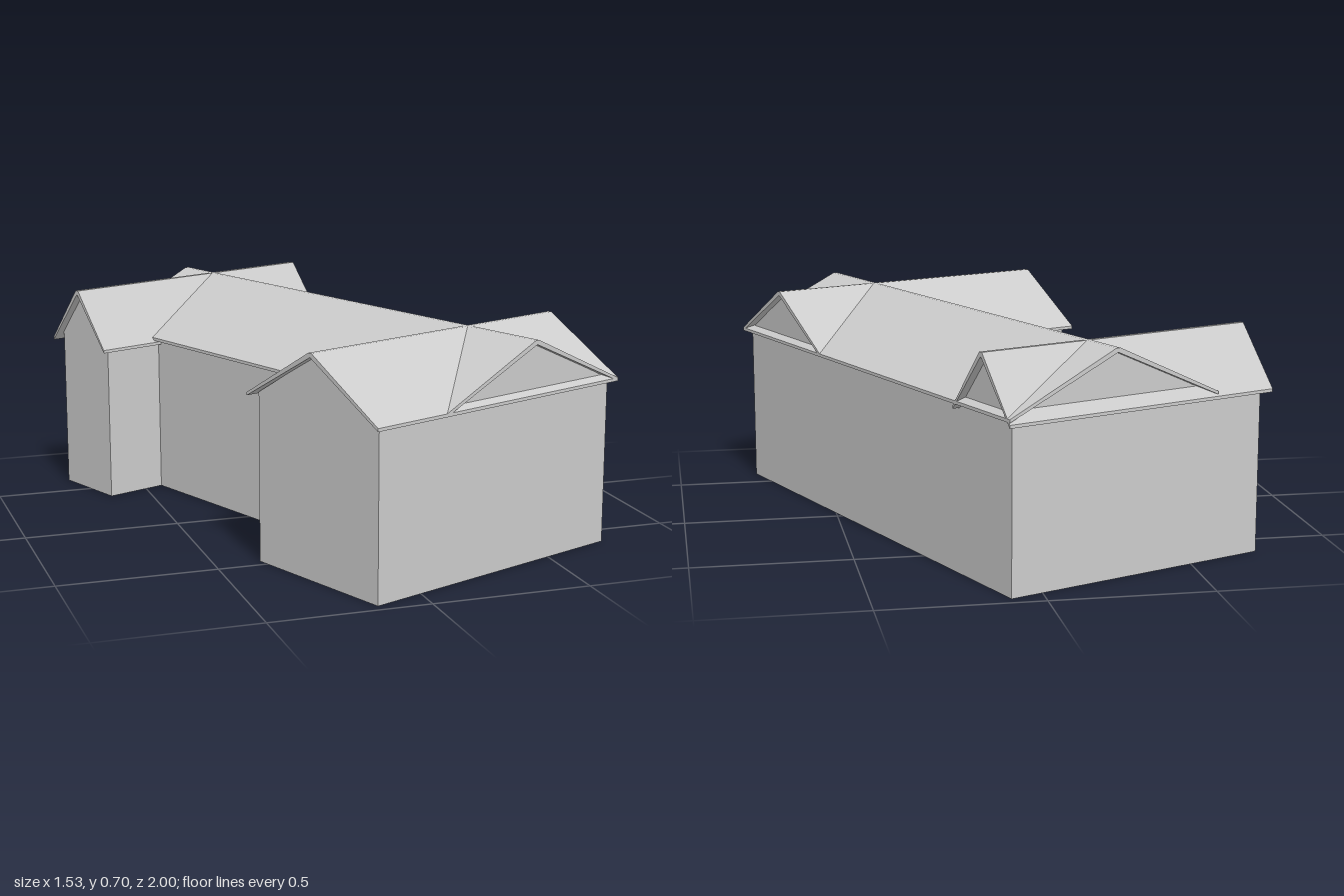
import * as THREE from 'three';

const material = new THREE.MeshStandardMaterial({ color: 0xcccccc, flatShading: true, side: THREE.DoubleSide });
const WALL_TOP = 0.533, RIDGE = 0.7, SLAB = 0.01;

function addMesh(parent, name, geometry) {
  const mesh = new THREE.Mesh(geometry, material);
  mesh.name = name;
  parent.add(mesh);
  return mesh;
}

const polygon = (points) => new THREE.Shape(points.map(([x, y]) => new THREE.Vector2(x, y)));

// Gabled roof running along z from `start` to `end`, with a wall triangle inside each end
function gabledRoof(name, { start, end, halfWidth, eave, wallStart, wallEnd, wallHalf }) {
  const roof = new THREE.Group();
  roof.name = name;

  // Thin folded slab with a narrow flat ridge
  const cap = 0.007;
  const slab = new THREE.ExtrudeGeometry(polygon([
    [-halfWidth, eave], [0, RIDGE - SLAB * 1.3], [halfWidth, eave],
    [halfWidth, eave + SLAB], [cap, RIDGE], [-cap, RIDGE], [-halfWidth, eave + SLAB],
  ]), { depth: end - start, bevelEnabled: false });
  slab.translate(0, 0, start);
  addMesh(roof, name + 'Slab', slab);

  // Gable walls closing the roof space
  for (const z of [wallStart, wallEnd]) {
    const gable = addMesh(roof, name + 'Gable', new THREE.ShapeGeometry(polygon([
      [-wallHalf, WALL_TOP], [wallHalf, WALL_TOP], [0, RIDGE - SLAB],
    ])));
    gable.position.z = z;
  }
  return roof;
}

export function createModel() {
  const model = new THREE.Group();
  model.name = 'building';
  const house = new THREE.Group();
  house.name = 'house';
  house.rotation.y = 0.38; // the house stands at an angle to the axes
  model.add(house);

  // Outer walls around the U-shaped plan, open underneath
  const plan = [
    [-0.505, 0.842], [0.45, 0.842], [0.45, -0.86], [-0.447, -0.86],
    [-0.447, -0.592], [-0.237, -0.592], [-0.237, 0.3], [-0.505, 0.3],
  ];
  plan.forEach(([x1, z1], i) => {
    const [x2, z2] = plan[(i + 1) % plan.length];
    const wall = addMesh(house, 'wall', new THREE.PlaneGeometry(Math.hypot(x2 - x1, z2 - z1), WALL_TOP));
    wall.position.set((x1 + x2) / 2, WALL_TOP / 2, (z1 + z2) / 2);
    wall.rotation.y = -Math.atan2(z2 - z1, x2 - x1);
  });

  // Roof of the long main block
  const mainRoof = gabledRoof('mainRoof', {
    start: -0.887, end: 0.865, halfWidth: 0.369, eave: 0.523,
    wallStart: -0.86, wallEnd: 0.842, wallHalf: 0.344,
  });
  mainRoof.position.x = 0.106;
  house.add(mainRoof);

  // Cross roofs over the two wings
  const frontRoof = gabledRoof('frontWingRoof', {
    start: -0.53, end: 0.475, halfWidth: 0.296, eave: 0.523,
    wallStart: -0.505, wallEnd: 0.45, wallHalf: 0.272,
  });
  frontRoof.position.z = 0.569;
  const backRoof = gabledRoof('backWingRoof', {
    start: -0.473, end: 0.475, halfWidth: 0.155, eave: 0.507,
    wallStart: -0.447, wallEnd: 0.45, wallHalf: 0.132,
  });
  backRoof.position.z = -0.732;
  for (const roof of [frontRoof, backRoof]) {
    roof.rotation.y = Math.PI / 2;
    house.add(roof);
  }
  return model;
}
